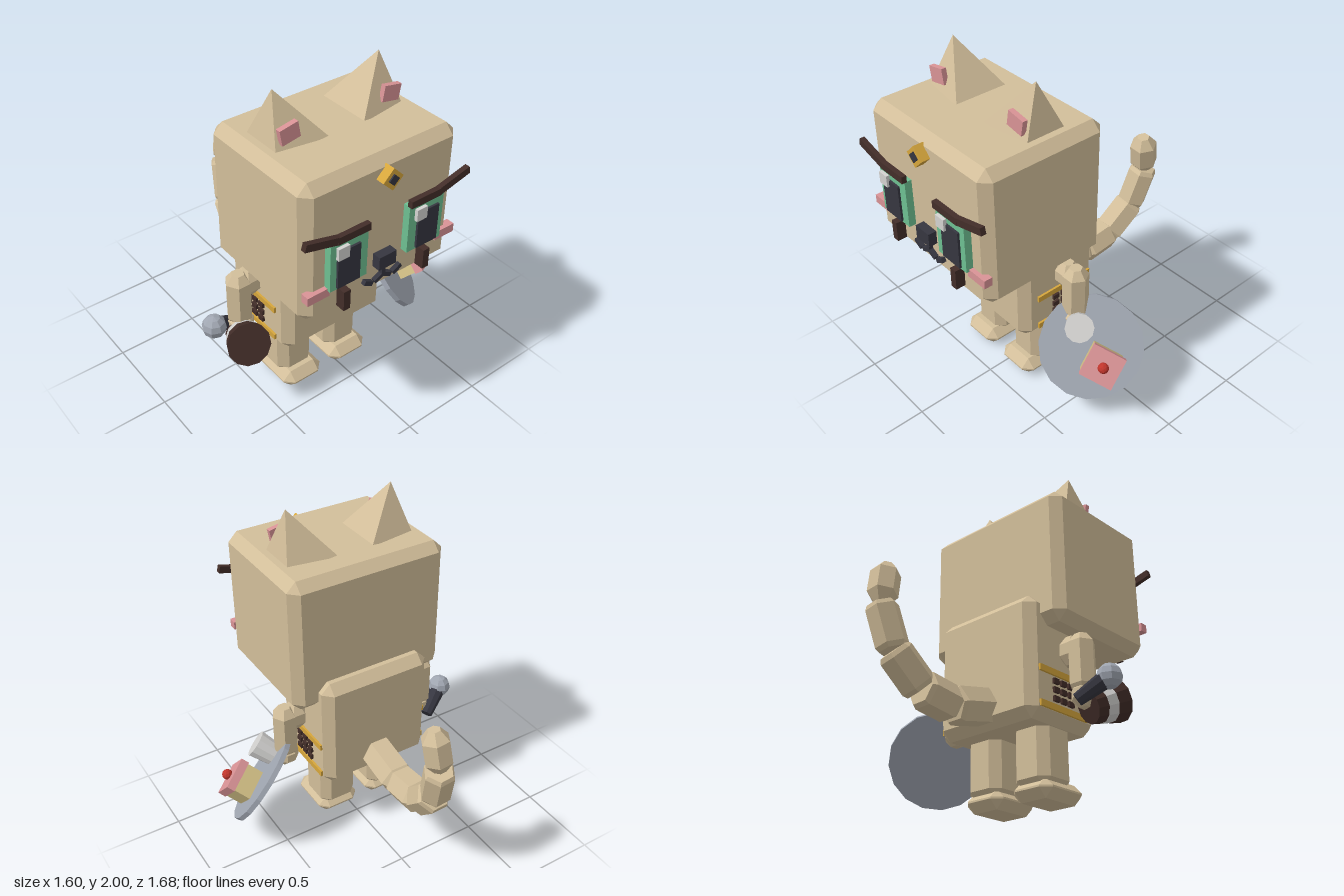
import * as THREE from 'three';
import { ConvexGeometry } from 'three/addons/geometries/ConvexGeometry.js';

const V = (x, y, z) => new THREE.Vector3(x, y, z);
const UP = V(0, 1, 0);

function makeMaterials() {
  const colours = {
    tanFur: 0xd2be9a, green: 0x6ec092, pink: 0xd99396, gold: 0xd6a63c, brown: 0x432e29,
    charcoal: 0x363640, paleGrey: 0xd4d3d1, steel: 0xa1a7b2, sponge: 0xd3c086, red: 0xc0352c,
  };
  const mats = {};
  for (const [name, color] of Object.entries(colours)) {
    mats[name] = new THREE.MeshStandardMaterial({ color });
    mats[name].name = name;
  }
  return mats;
}

// faceted copy of a geometry
function flat(geometry) {
  const g = geometry.index ? geometry.toNonIndexed() : geometry;
  g.computeVertexNormals();
  return g;
}

// box with cut edges and corners
function chamferBox(w, h, d, c) {
  const pts = [];
  for (const x of [-1, 1]) for (const y of [-1, 1]) for (const z of [-1, 1]) {
    const X = x * w / 2, Y = y * h / 2, Z = z * d / 2;
    pts.push(V(X, Y - y * c, Z - z * c), V(X - x * c, Y, Z - z * c), V(X - x * c, Y - y * c, Z));
  }
  return new ConvexGeometry(pts);
}

// six-sided limb segment with tapered ends, standing on the origin
function bead(length, r, endR, taper) {
  const pts = [];
  for (const [radius, y] of [[endR, 0], [r, taper], [r, length - taper], [endR, length]]) {
    for (let i = 0; i < 6; i++) {
      const a = (i + 0.5) * Math.PI / 3;
      pts.push(V(Math.sin(a) * radius, y, Math.cos(a) * radius));
    }
  }
  return new ConvexGeometry(pts);
}

// cylinder standing on the origin
function drum(rTop, rBottom, h, sides) {
  return flat(new THREE.CylinderGeometry(rTop, rBottom, h, sides).translate(0, h / 2, 0));
}

function add(parent, name, geometry, material, x = 0, y = 0, z = 0, rz = 0) {
  const mesh = new THREE.Mesh(geometry, material);
  mesh.name = name;
  mesh.position.set(x, y, z);
  mesh.rotation.z = rz;
  parent.add(mesh);
  return mesh;
}

function addSegment(parent, name, a, b, r, endR, taper, material) {
  const dir = b.clone().sub(a);
  const mesh = add(parent, name, bead(dir.length(), r, endR, taper), material, a.x, a.y, a.z);
  mesh.quaternion.setFromUnitVectors(UP, dir.normalize());
  return mesh;
}

const box = (w, h, d) => new THREE.BoxGeometry(w, h, d);

function buildFace(head, m) {
  for (const s of [1, -1]) {
    const side = s > 0 ? 'left' : 'right';
    add(head, side + 'Eye', box(0.232, 0.285, 0.06), m.green, s * 0.25, 1.26, 0.782);
    add(head, side + 'Pupil', box(0.14, 0.22, 0.02), m.charcoal, s * 0.258, 1.24, 0.815);
    add(head, side + 'EyeGlint', box(0.068, 0.07, 0.02), m.paleGrey, s > 0 ? 0.199 : -0.303, 1.348, 0.828);
    add(head, side + 'BrowInner', box(0.2, 0.042, 0.03), m.brown, s * 0.232, 1.422, 0.813);
    add(head, side + 'BrowOuter', box(0.21, 0.042, 0.03), m.brown, s * 0.423, 1.448, 0.812, s * 0.25);
    add(head, side + 'Cheek', box(0.135, 0.05, 0.05), m.pink, s * 0.42, 1.106, 0.77);
    add(head, side + 'CheekMark', box(0.042, 0.12, 0.06), m.brown, s * 0.266, 1.025, 0.797);
    add(head, side + 'MouthInner', box(0.062, 0.024, 0.03), m.charcoal, s * 0.026, 1.022, 0.78, -s * 0.45);
    add(head, side + 'MouthOuter', box(0.06, 0.026, 0.03), m.charcoal, s * 0.096, 1.02, 0.78, s * 0.5);
  }
  add(head, 'nose', box(0.112, 0.08, 0.06), m.charcoal, 0, 1.14, 0.79);
  add(head, 'mouthStem', box(0.024, 0.08, 0.03), m.charcoal, 0, 1.063, 0.78);
  add(head, 'foreheadGemFrame', box(0.09, 0.09, 0.06), m.gold, 0, 1.63, 0.79, Math.PI / 4);
  add(head, 'foreheadGem', box(0.046, 0.046, 0.02), m.charcoal, 0, 1.63, 0.818, Math.PI / 4);
}

function buildHead(m) {
  const head = new THREE.Group();
  head.name = 'head';
  add(head, 'skull', chamferBox(0.98, 0.82, 0.785, 0.055), m.tanFur, 0, 1.325, 0.377);
  for (const s of [1, -1]) {
    const ear = new ConvexGeometry([
      V(s * 0.33, 2, 0.315), V(s * 0.113, 1.742, 0.155), V(s * 0.113, 1.742, 0.472),
      V(s * 0.405, 1.7, 0.18), V(s * 0.405, 1.7, 0.445),
    ]);
    add(head, s > 0 ? 'leftEar' : 'rightEar', ear, m.tanFur);
    add(head, s > 0 ? 'leftInnerEar' : 'rightInnerEar', box(0.11, 0.088, 0.03), m.pink, s * 0.318, 1.815, 0.427, -s * 0.18);
  }
  buildFace(head, m);
  return head;
}

function buildBody(m) {
  const body = new THREE.Group();
  body.name = 'body';
  add(body, 'torso', chamferBox(0.7, 0.705, 0.54, 0.055), m.tanFur, 0, 0.733, 0.17);
  for (const s of [1, -1]) {
    const side = s > 0 ? 'left' : 'right';
    add(body, side + 'Leg', chamferBox(0.236, 0.42, 0.25, 0.05), m.tanFur, s * 0.17, 0.27, 0.182);
    add(body, side + 'Foot', chamferBox(0.266, 0.11, 0.335, 0.05), m.tanFur, s * 0.17, 0.055, 0.22);
    // arm: shoulder knob, hanging arm, paw
    addSegment(body, side + 'Shoulder', V(s * 0.41, 0.7, 0.17), V(s * 0.41, 0.865, 0.17), 0.072, 0.035, 0.05, m.tanFur);
    addSegment(body, side + 'Arm', V(s * 0.475, 0.52, 0.17), V(s * 0.475, 0.865, 0.17), 0.076, 0.038, 0.05, m.tanFur);
    add(body, side + 'Paw', chamferBox(0.14, 0.14, 0.14, 0.045), m.tanFur, s * 0.475, 0.52, 0.18);
    // side trim: two bands with a small bar pattern between them
    for (const y of [0.652, 0.455]) add(body, side + 'SideBand', box(0.04, 0.035, 0.38), m.gold, s * 0.343, y, 0.15);
    for (const y of [0.605, 0.555, 0.505]) for (const z of [0.09, 0.15, 0.21]) {
      add(body, side + 'SideBar', box(0.04, 0.03, 0.042), m.brown, s * 0.345, y, z);
    }
  }
  // tail of five segments
  const joints = [
    V(0, 0.51, -0.06), V(0, 0.45, -0.325), V(0.005, 0.482, -0.54),
    V(0.035, 0.65, -0.705), V(0.066, 0.895, -0.775), V(0.088, 1.145, -0.73),
  ];
  const radii = [0.108, 0.105, 0.1, 0.09, 0.083];
  for (let i = 0; i < 5; i++) {
    const r = radii[i];
    addSegment(body, 'tailSegment', joints[i], joints[i + 1], r, i === 4 ? r * 0.45 : r * 0.85, i === 4 ? 0.06 : 0.025, m.tanFur);
  }
  return body;
}

// tray with a cup and a small cake, tilted towards the front left
function buildTray(m) {
  const tray = new THREE.Group();
  tray.name = 'tray';
  const n = V(0.64, 0.55, 0.54).normalize();
  const u = V(0.76, -0.41, -0.51);
  u.addScaledVector(n, -u.dot(n)).normalize();
  const w = u.clone().cross(n);
  tray.quaternion.setFromRotationMatrix(new THREE.Matrix4().makeBasis(u, n, w));
  tray.position.set(0.545, 0.4, 0.19);
  const local = (x, y, z) => V(x, y, z).applyQuaternion(tray.quaternion.clone().invert());
  add(tray, 'trayPlate', drum(0.298, 0.298, 0.03, 16), m.steel, 0, -0.015, 0);
  const cup = local(-0.045, 0.155, 0.055);
  add(tray, 'cup', drum(0.082, 0.07, 0.13, 12), m.paleGrey, cup.x, 0.012, cup.z);
  const cake = local(0.19, 0.035, 0.09);
  add(tray, 'cakeSponge', box(0.18, 0.11, 0.17), m.sponge, cake.x, 0.065, cake.z);
  add(tray, 'cakeIcing', box(0.195, 0.05, 0.185), m.pink, cake.x, 0.142, cake.z);
  add(tray, 'cherry', flat(new THREE.IcosahedronGeometry(0.032, 1)), m.red, cake.x, 0.185, cake.z);
  return tray;
}

// banded beaker and ball-ended stick held in the right paw
function buildRightHandItems(m) {
  const items = new THREE.Group();
  items.name = 'rightHandItems';
  const beaker = new THREE.Group();
  beaker.name = 'beaker';
  beaker.position.set(-0.575, 0.45, 0.19);
  beaker.quaternion.setFromUnitVectors(UP, V(-0.3, 0.38, 0.87).normalize());
  add(beaker, 'beakerBase', drum(0.098, 0.088, 0.06, 12), m.brown);
  add(beaker, 'beakerBand', drum(0.108, 0.1, 0.06, 12), m.paleGrey, 0, 0.06, 0);
  add(beaker, 'beakerRim', drum(0.124, 0.11, 0.075, 12), m.brown, 0, 0.12, 0);
  items.add(beaker);
  const ball = V(-0.732, 0.578, 0.172), end = V(-0.58, 0.465, 0.09);
  const dir = ball.clone().sub(end);
  const stick = add(items, 'stick', drum(0.052, 0.036, dir.length(), 8), m.charcoal, end.x, end.y, end.z);
  stick.quaternion.setFromUnitVectors(UP, dir.normalize());
  add(items, 'stickBall', flat(new THREE.SphereGeometry(0.07, 8, 6)), m.steel, ball.x, ball.y, ball.z);
  return items;
}

export function createModel() {
  const m = makeMaterials();
  const model = new THREE.Group();
  model.name = 'blockCat';
  const cat = new THREE.Group();
  cat.name = 'cat';
  cat.position.x = -0.088;
  cat.add(buildHead(m), buildBody(m));
  model.add(cat, buildTray(m), buildRightHandItems(m));
  return model;
}
